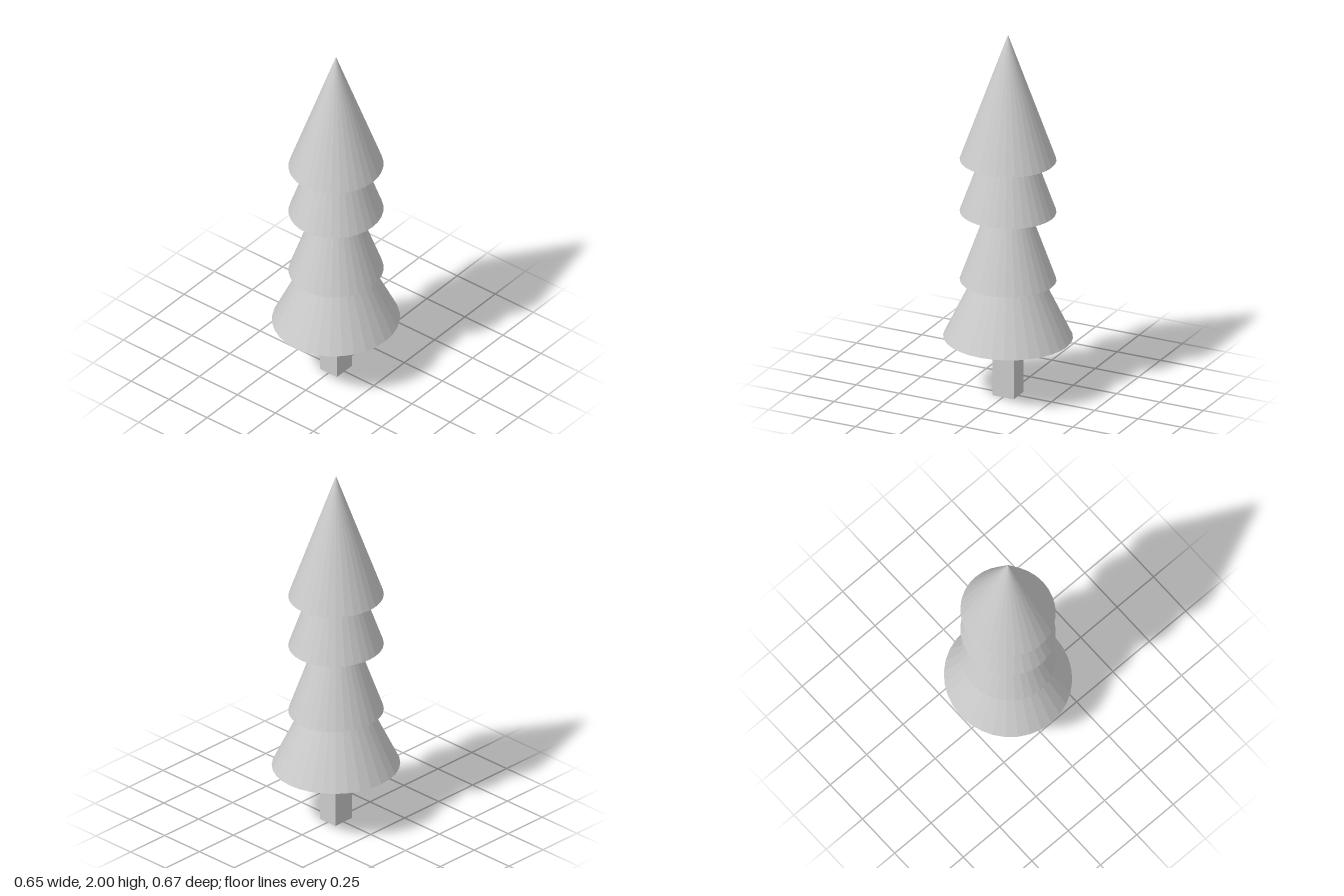
import * as THREE from 'three';

export function createModel() {
  const tree = new THREE.Group();
  tree.name = 'coniferTree';
  const material = new THREE.MeshStandardMaterial({ color: 0xcccccc, flatShading: true });

  function add(name, geometry, y) {
    const mesh = new THREE.Mesh(geometry, material);
    mesh.name = name;
    mesh.position.y = y;
    tree.add(mesh);
    return mesh;
  }

  // Square trunk, its top hidden inside the lowest tier
  const trunkHeight = 0.4;
  add('trunk', new THREE.BoxGeometry(0.112, trunkHeight, 0.124), trunkHeight / 2);

  // Overlapping cones of equal height, slightly deeper than wide
  const tierHeight = 0.695;
  const tiers = [
    { name: 'bottomTier', base: 0.32, rx: 0.325, rz: 0.337 },
    { name: 'lowerMiddleTier', base: 0.636, rx: 0.241, rz: 0.2515 },
    { name: 'upperMiddleTier', base: 1.017, rx: 0.241, rz: 0.2515 },
    { name: 'topTier', base: 1.305, rx: 0.241, rz: 0.2515 },
  ];
  for (const { name, base, rx, rz } of tiers) {
    const cone = new THREE.ConeGeometry(1, tierHeight, 32).scale(rx, 1, rz);
    add(name, cone, base + tierHeight / 2);
  }

  return tree;
}
